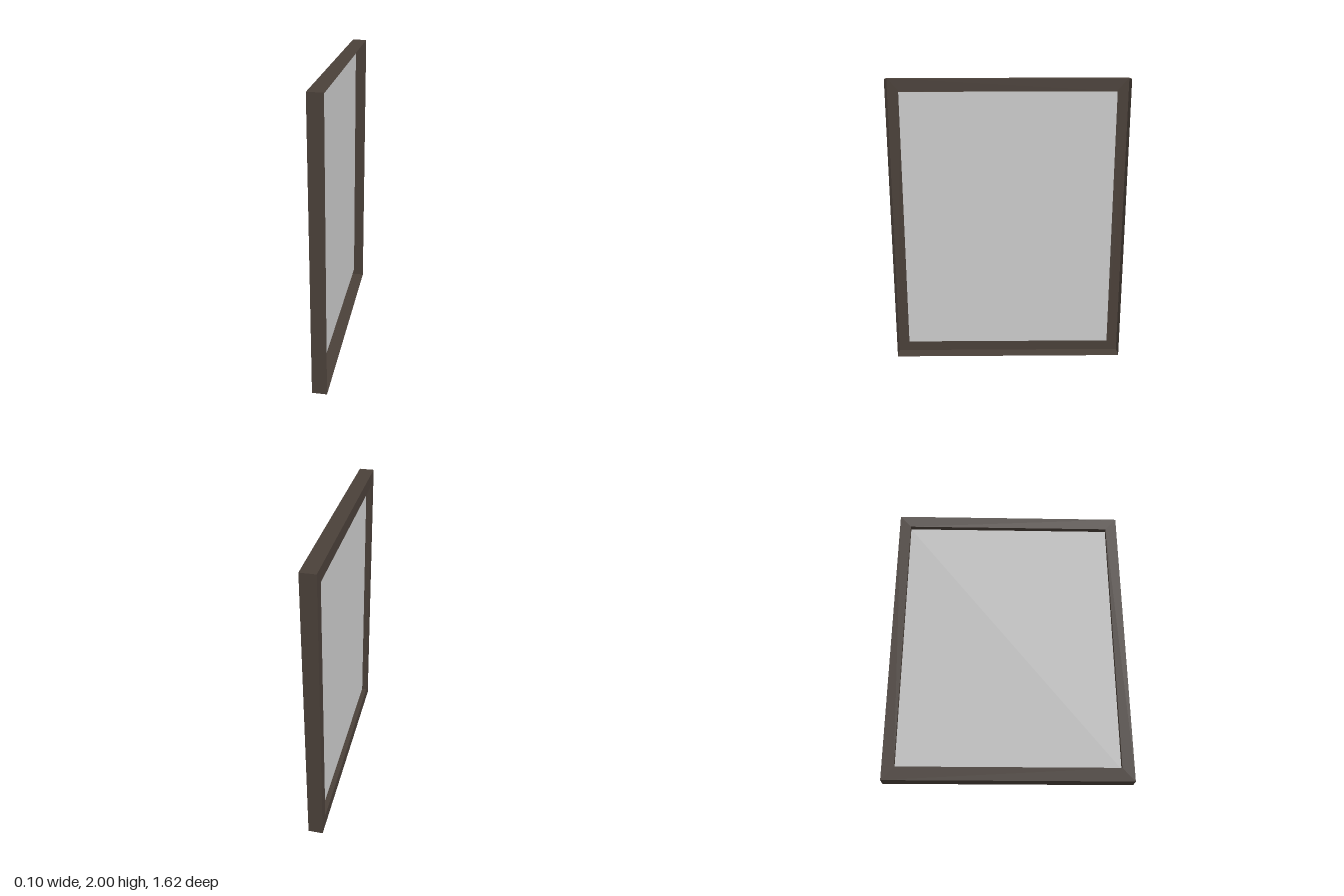
import * as THREE from 'three';

const HALF_Z = 0.81, HALF_Y = 1, HALF_X = 0.05;
const LIP_Z = 0.08, LIP_Y = 0.088, PANE_X = -0.015;

// Sweeps an open profile of [x, inset 0..1] points round the rectangle with mitred corners.
function sweepFrame(profile) {
  const corners = [[1, -1], [1, 1], [-1, 1], [-1, -1]];
  const point = (i, k) => {
    const [x, inset] = profile[i];
    const [sz, sy] = corners[k % 4];
    return [x, HALF_Y + sy * (HALF_Y - inset * LIP_Y), sz * (HALF_Z - inset * LIP_Z)];
  };
  const positions = [];
  for (let i = 0; i < profile.length - 1; i++) {
    for (let k = 0; k < 4; k++) {
      const a = point(i, k), b = point(i + 1, k), c = point(i + 1, k + 1), d = point(i, k + 1);
      positions.push(...a, ...c, ...b, ...a, ...d, ...c);
    }
  }
  const geometry = new THREE.BufferGeometry();
  geometry.setAttribute('position', new THREE.Float32BufferAttribute(positions, 3));
  geometry.computeVertexNormals();
  return geometry;
}

export function createModel() {
  const model = new THREE.Group();
  model.name = 'framedPanel';

  // Thin sheet frame: outer wall, flange on the -x side, short return holding the pane
  const frame = new THREE.Mesh(
    sweepFrame([[HALF_X, 0], [-HALF_X, 0], [-HALF_X, 1], [PANE_X, 1]]),
    new THREE.MeshStandardMaterial({ color: 0x4a4039, side: THREE.DoubleSide })
  );
  frame.name = 'frame';
  model.add(frame);

  // Flat pane set against the inner edge of the return
  const pane = new THREE.Mesh(
    new THREE.PlaneGeometry(2 * (HALF_Z - LIP_Z), 2 * (HALF_Y - LIP_Y)),
    new THREE.MeshStandardMaterial({ color: 0xcccccc, side: THREE.DoubleSide })
  );
  pane.name = 'pane';
  pane.rotation.y = Math.PI / 2;
  pane.position.set(PANE_X, HALF_Y, 0);
  model.add(pane);

  return model;
}
